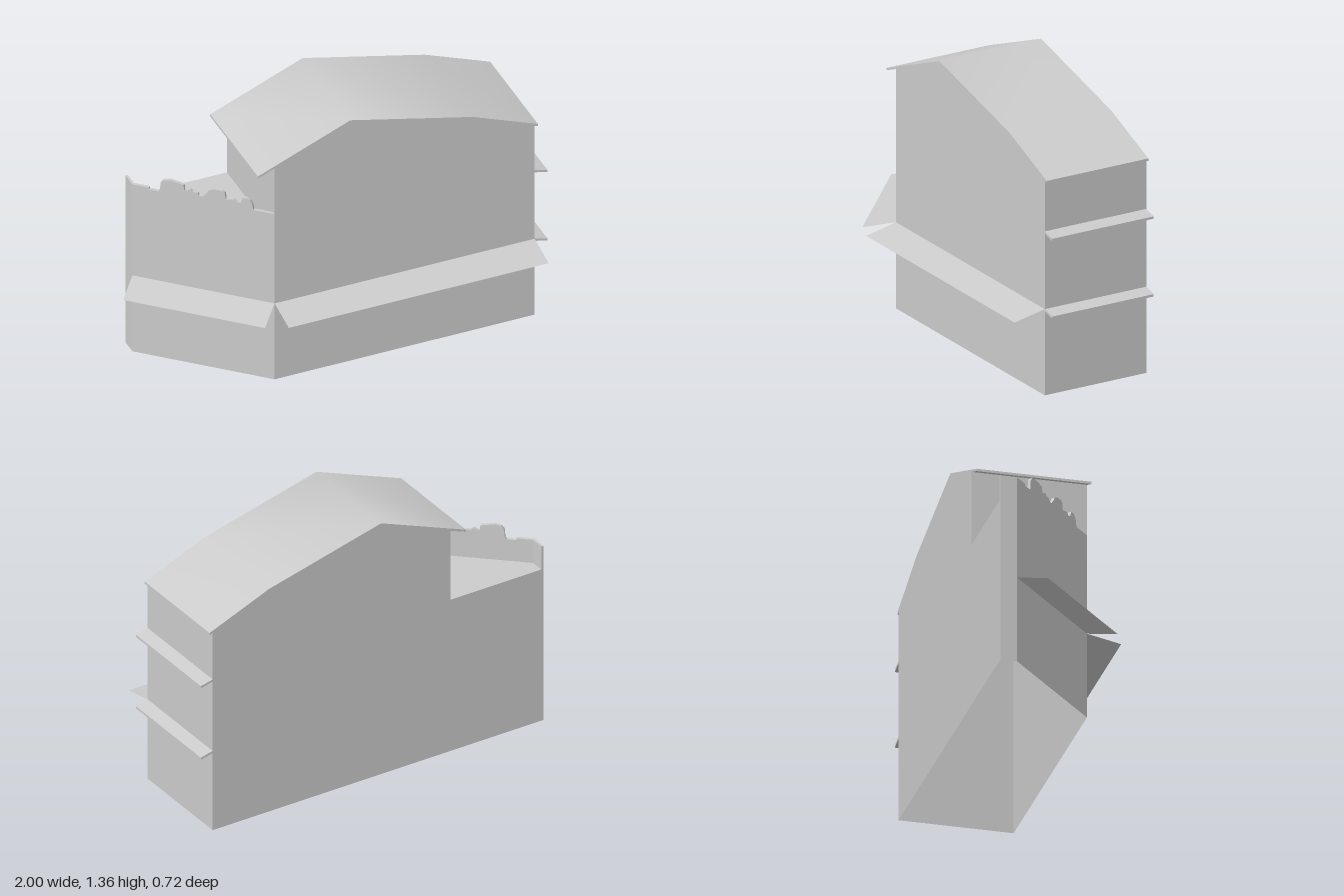
import * as THREE from 'three';
import { toCreasedNormals } from 'three/addons/utils/BufferGeometryUtils.js';

const grey = new THREE.MeshStandardMaterial({ color: 0xcccccc, side: THREE.DoubleSide });
const XL = -0.385, XR = 0.935, XW = -0.9;        // main left, main right, wing end
const ZB = -0.36, ZF = 0.195, ZW = -0.28;        // back, front, wing front corner
const WING_H = 0.82, T = 0.012;                  // wing roof height, slab thickness

const shape = (pts) => new THREE.Shape(pts.map(([x, y]) => new THREE.Vector2(x, y)));

export function createModel() {
  const model = new THREE.Group();
  const add = (name, geometry) => {
    const mesh = new THREE.Mesh(geometry, grey);
    mesh.name = name;
    model.add(mesh);
    return mesh;
  };
  // flat four-cornered sheet, corners counter-clockwise from its front
  const sheet = (name, a, b, c, d) => {
    const g = new THREE.BufferGeometry();
    g.setAttribute('position', new THREE.Float32BufferAttribute([a, b, c, a, c, d].flat(), 3));
    g.computeVertexNormals();
    return add(name, g);
  };
  // vertical wall between two plan points
  const wall = (name, [x0, z0], [x1, z1], y0, y1) =>
    sheet(name, [x0, y0, z0], [x1, y0, z1], [x1, y1, z1], [x0, y1, z0]);
  // slab following a top profile, running the full depth of the building
  const slab = (name, top) => {
    const under = top.map(([x, y]) => [x, y - T]).reverse();
    const g = new THREE.ExtrudeGeometry(shape([...under, ...top]), { depth: ZF - ZB, bevelEnabled: false });
    g.translate(0, 0, ZB);
    return add(name, toCreasedNormals(g, 0.7));
  };

  // gabled front and back walls; the back one also closes the wing
  const gable = [[XR, 1.07], [0.62, 1.195], [0, 1.35], [XL, 1.194]];
  add('frontWall', new THREE.ShapeGeometry(shape([[XL, 0], [XR, 0], ...gable]))).position.z = ZF;
  const back = new THREE.ShapeGeometry(
    shape([[XW, 0], [XR, 0], ...gable, [XL, WING_H], [XW, WING_H]]));
  back.rotateY(Math.PI).scale(1, 1, 1);
  const backWall = add('backWall', back);
  backWall.geometry.rotateY(Math.PI);
  // turn the faces towards the back
  const idx = back.index.array;
  for (let i = 0; i < idx.length; i += 3) [idx[i], idx[i + 1]] = [idx[i + 1], idx[i]];
  back.computeVertexNormals();
  backWall.position.z = ZB;

  // side walls
  wall('rightWall', [XR, ZF], [XR, ZB], 0, 1.07);
  wall('upperLeftWall', [XL, ZB], [XL, ZF], WING_H, 1.194);

  // roof and side ledges
  slab('roof', [[0.952, 1.075], [0.62, 1.207], [0, 1.36], [-0.47, 1.172]]);
  for (const y of [0.43, 0.818]) slab('sideLedge', [[1, y - 0.016], [XR, y]]);

  // angled wing with flat roof
  wall('wingEndWall', [XW, ZB], [XW, ZW], 0, WING_H);
  wall('wingFrontWall', [XW, ZW], [XL, ZF], 0, WING_H);
  const flat = new THREE.ShapeGeometry(shape([[XW, -ZB], [XW, -ZW], [XL, -ZF], [XL, -ZB]]));
  flat.rotateX(-Math.PI / 2);
  add('wingRoof', flat).position.y = WING_H;

  // short end parapet
  const end = new THREE.BoxGeometry(T, 0.945 - WING_H, ZW - ZB);
  add('endParapet', end).position.set(XW + T / 2, (0.945 + WING_H) / 2, (ZB + ZW) / 2);

  // ornamental parapet along the angled front
  const crest = [
    [XL, 0.935], [-0.462, 0.935], [-0.466, 0.965], [-0.474, 0.985], [-0.485, 0.993], [-0.502, 0.99],
    [-0.506, 0.965], [-0.52, 0.96], [-0.535, 0.972], [-0.562, 0.965], [-0.566, 1.0], [-0.575, 1.008],
    [-0.605, 1.008], [-0.622, 0.995], [-0.634, 0.97], [-0.645, 0.955], [-0.66, 0.955], [-0.664, 0.968],
    [-0.682, 0.97], [-0.69, 0.98], [-0.712, 0.968], [-0.715, 0.998], [-0.735, 1.004], [-0.765, 1.01],
    [-0.788, 1.003], [-0.798, 0.985], [-0.8, 0.945], [-0.806, 0.935], [-0.84, 0.935], [-0.84, 0.945],
    [XW, 0.945],
  ];
  const stretch = Math.hypot(XL - XW, ZF - ZW) / (XL - XW);
  const outline = [[XW, WING_H], [XL, WING_H], ...crest].map(([x, y]) => [(x - XW) * stretch, y]);
  const parapet = new THREE.ExtrudeGeometry(shape(outline), { depth: 0.015, bevelEnabled: false });
  parapet.translate(0, 0, -0.015);
  const crestMesh = add('crestParapet', parapet);
  crestMesh.position.set(XW, 0, ZW);
  crestMesh.rotation.y = -Math.atan2(ZF - ZW, XL - XW);

  // thin sloping awnings
  sheet('frontAwning', [XL, 0.396, 0.36], [XR, 0.396, 0.36], [XR, 0.43, ZF], [XL, 0.43, ZF]);
  sheet('wingAwning', [-1, 0.396, -0.157], [-0.487, 0.396, 0.317], [XL, 0.43, ZF], [XW, 0.43, ZW]);

  return model;
}
